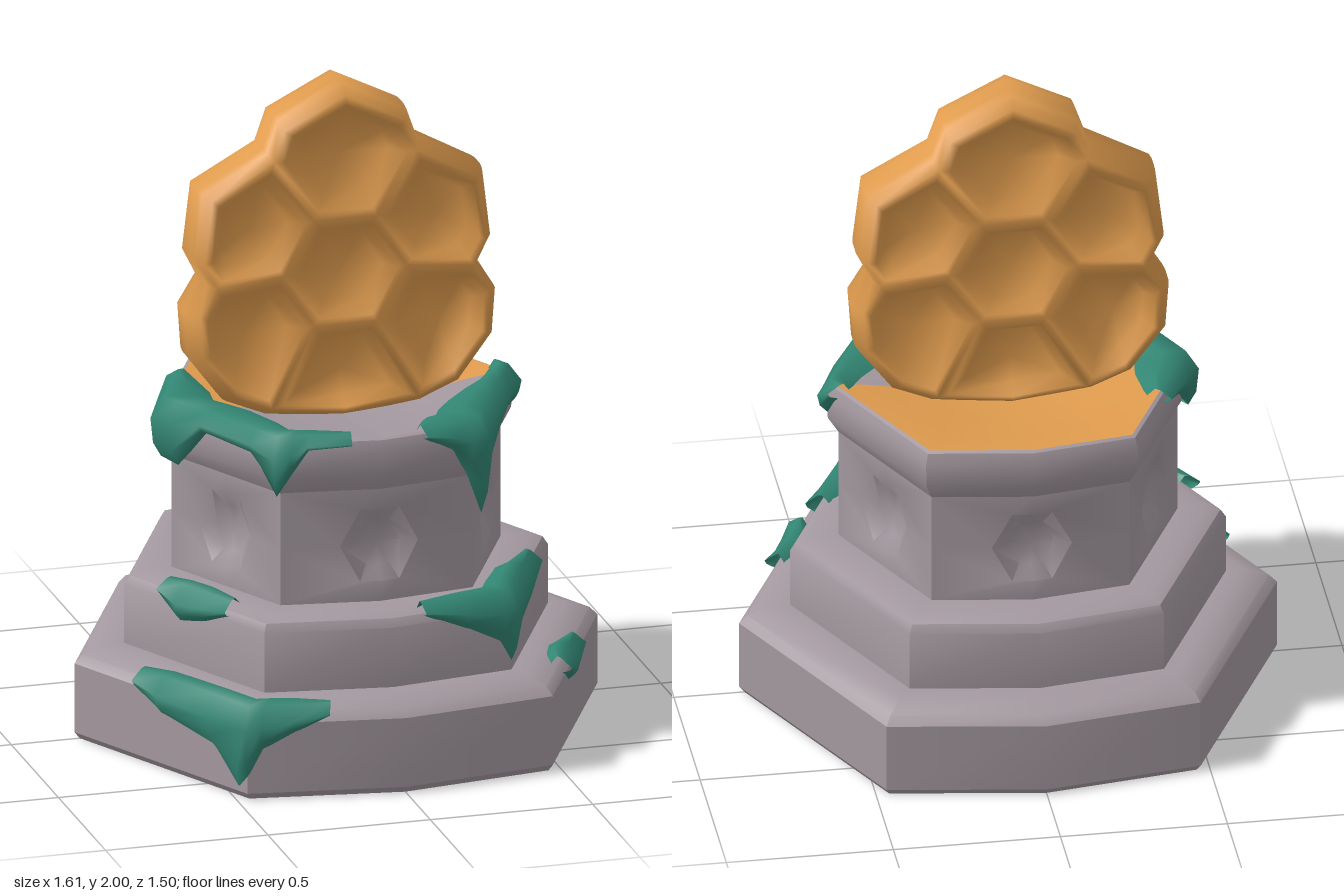
import * as THREE from 'three';
import { mergeVertices, toCreasedNormals } from 'three/addons/utils/BufferGeometryUtils.js';

const mat = (name, color) => {
  const m = new THREE.MeshStandardMaterial({ color, side: THREE.DoubleSide });
  m.name = name;
  return m;
};

// Plan of the plinth, walked from the front corner towards +x
const PLAN = [[0, 0.75], [0.47, 0.68], [0.805, 0], [0.47, -0.68], [0, -0.75], [-0.47, -0.68], [-0.805, 0], [-0.47, 0.68]];

// Point on the plan outline: t counts corners, s scales the plan
function onPlan(t, s, y) {
  const i = Math.floor(t), f = t - i;
  const a = PLAN[i % 8], b = PLAN[(i + 1) % 8];
  return [(a[0] + (b[0] - a[0]) * f) * s, y, (a[1] + (b[1] - a[1]) * f) * s];
}

// Collects quads and turns them into a mesh
class Skin {
  constructor() { this.p = []; }
  quad(a, b, c, d) { this.p.push(...a, ...b, ...c, ...a, ...c, ...d); }
  tri(a, b, c) { this.p.push(...a, ...b, ...c); }
  // Strip between two rows of points
  strip(low, high, closed = false) {
    const n = low.length;
    for (let i = 0; i < (closed ? n : n - 1); i++) {
      const j = (i + 1) % n;
      this.quad(low[i], low[j], high[j], high[i]);
    }
  }
  mesh(name, material, crease) {
    let g = new THREE.BufferGeometry();
    g.setAttribute('position', new THREE.Float32BufferAttribute(this.p, 3));
    if (crease) g = toCreasedNormals(g, crease);
    else { g = mergeVertices(g, 1e-4); g.computeVertexNormals(); }
    const m = new THREE.Mesh(g, material);
    m.name = name;
    return m;
  }
}

// Loft of [scale, y] rings over plan corners from..to
function loft(name, material, profile, from = 0, to = 8) {
  const skin = new Skin();
  const rows = profile.map(([s, y]) => {
    const row = [];
    for (let t = from; t <= to; t++) row.push(onPlan(t, s, y));
    return row;
  });
  for (let i = 0; i + 1 < rows.length; i++) skin.strip(rows[i], rows[i + 1]);
  return skin.mesh(name, material, 0.6);
}

// Six column panels, each with a sunken hexagon
function column(material, s, y0, y1) {
  const skin = new Skin();
  const sides = [[7, 1], [1, 2], [2, 3], [3, 5], [5, 6], [6, 7]];
  const square = [[1, 0], [1, 1], [0, 1], [-1, 1], [-1, 0], [-1, -1], [0, -1], [1, -1]];
  const hex = [[1, 0], [0.5, 0.9], [0, 0.9], [-0.5, 0.9], [-1, 0], [-0.5, -0.9], [0, -0.9], [0.5, -0.9]];
  for (const [i, j] of sides) {
    const a = new THREE.Vector3(...onPlan(i, s, 0)), b = new THREE.Vector3(...onPlan(j, s, 0));
    const mid = a.clone().add(b).multiplyScalar(0.5);
    const u = b.clone().sub(a), w = u.length() / 2;
    u.normalize();
    const n = new THREE.Vector3(-u.z, 0, u.x);
    if (n.dot(mid) < 0) n.negate();
    const bulge = Math.abs(u.z) < 0.01 ? 0.07 * s : 0;
    const h = (y1 - y0) / 2, cy = (y0 + y1) / 2;
    const ring = (shape, rx, ry, depth) => shape.map(([x, y]) => {
      const out = bulge * (1 - Math.abs(x * rx) / w) - depth;
      return mid.clone().addScaledVector(u, x * rx).addScaledVector(n, out).setY(cy + y * ry).toArray();
    });
    const outer = ring(square, w, h, 0);
    const rim = ring(hex, 0.12, 0.125, 0);
    const floor = ring(hex, 0.07, 0.075, 0.03);
    skin.strip(outer, rim, true);
    skin.strip(rim, floor, true);
    const c = ring([[0, 0]], 1, 1, 0.035)[0];
    floor.forEach((p, k) => skin.tri(p, floor[(k + 1) % 8], c));
  }
  return skin.mesh('column', material, 0.6);
}

// Moss draped over a ledge; stations are [t, inner scale, drop]
function moss(name, material, s, y, stations) {
  const skin = new Skin();
  const row = (f) => stations.map((st) => onPlan(st[0], ...f(st)));
  const rows = [
    row(([, , d]) => [s - 0.005, y - d]),
    row(([, , d]) => [s + 0.025, y - d * 0.75]),
    row(([, , d]) => [s + 0.035, y - Math.min(0.05, d * 0.4)]),
    row(() => [s - 0.015, y + 0.015]),
    row(([, k]) => [(s + k) / 2, y + 0.018]),
    row(([, k]) => [k, y - 0.012]),
  ];
  for (let i = 0; i + 1 < rows.length; i++) skin.strip(rows[i], rows[i + 1]);
  return skin.mesh(name, material);
}

// Standing honeycomb slab: one middle cell and six around it
function honeycomb(material) {
  const skin = new Skin(), CY = 1.42;
  const outline = [[0.42, 1.4], [0.46, 1.48], [0.435, 1.69], [0.235, 1.8], [0.2, 1.9], [0, 2],
    [-0.2, 1.9], [-0.235, 1.8], [-0.435, 1.69], [-0.46, 1.48], [-0.42, 1.4], [-0.475, 1.31],
    [-0.465, 1.17], [-0.36, 1.03], [-0.24, 0.98], [0, 0.95], [0.24, 0.98], [0.36, 1.03], [0.465, 1.17], [0.475, 1.31]];
  const N = outline.length, spokes = [0, 3, 7, 10, 14, 16, 20];
  const scaled = (k, z) => outline.map(([x, y]) => [x * k, CY + (y - CY) * k, z]);

  // Rounded rim
  const rim = [[0.94, -0.1], [0.99, -0.065], [1, -0.03], [1, 0.03], [0.99, 0.065], [0.94, 0.1]].map(([k, z]) => scaled(k, z));
  for (let i = 0; i + 1 < rim.length; i++) skin.strip(rim[i], rim[i + 1], true);

  // Cell outlines on the front face
  const face = scaled(0.94, 0.1);
  const hub = [0, 1, 2, 3, 4, 5].map((k) => {
    const a = k * Math.PI / 3;
    return [0.19 * Math.cos(a), CY + 0.19 * Math.sin(a), 0.1];
  });
  const cells = [hub];
  for (let k = 0; k < 6; k++) {
    const cell = [];
    for (let i = spokes[k]; i <= spokes[k + 1]; i++) cell.push(face[i % N]);
    cell.push(hub[(k + 1) % 6], hub[k]);
    cells.push(cell);
  }

  // Raised walls and sunken floors, on both faces
  for (const cell of cells) {
    const cx = cell.reduce((t, p) => t + p[0], 0) / cell.length;
    const cy = cell.reduce((t, p) => t + p[1], 0) / cell.length;
    const inset = (k, z) => cell.map(([x, y]) => [cx + (x - cx) * k, cy + (y - cy) * k, z]);
    const loops = [cell, inset(0.86, 0.108), inset(0.64, 0.06)];
    for (const side of [1, -1]) {
      const flip = (p) => [p[0], p[1], p[2] * side];
      const rows = loops.map((l) => {
        const r = l.map(flip);
        return side > 0 ? r : r.reverse();
      });
      skin.strip(rows[0], rows[1], true);
      skin.strip(rows[1], rows[2], true);
      const c = flip([cx, cy, 0.05]);
      rows[2].forEach((p, i) => skin.tri(p, rows[2][(i + 1) % rows[2].length], c));
    }
  }
  return skin.mesh('honeycomb', material);
}

export function createModel() {
  const stone = mat('stone', 0xa3989f), honey = mat('honey', 0xe09c4e), green = mat('moss', 0x328573);
  const group = new THREE.Group();
  group.name = 'honeycombPedestal';

  // Hollow stepped plinth
  group.add(loft('baseTier', stone, [[0.98, 0], [1, 0.02], [1, 0.235], [0.97, 0.26], [0.88, 0.285], [0.81, 0.285]]));
  group.add(loft('middleTier', stone, [[0.81, 0.285], [0.81, 0.47], [0.79, 0.495], [0.74, 0.51], [0.63, 0.51]]));
  group.add(column(stone, 0.63, 0.51, 0.86));
  group.add(loft('capital', stone, [[0.63, 0.86], [0.67, 0.91], [0.675, 0.985], [0.66, 1.02], [0.645, 1.025]]));

  // Shallow dish: stone in front, honey behind
  const dish = [[0.645, 1.025], [0.5, 1.01], [0.28, 0.975], [0, 0.965]];
  group.add(loft('dishFrontRight', stone, dish, 0, 2));
  group.add(loft('dishFrontLeft', stone, dish, 6, 8));
  group.add(loft('honeyPool', honey, dish, 2, 6));

  group.add(honeycomb(honey));

  // Moss on the ledges
  group.add(moss('mossTopLeftSide', green, 0.675, 1.03, [[0.4, 0.62, 0.02], [0.7, 0.5, 0.07], [0.85, 0.47, 0.15], [1, 0.46, 0.28],
    [1.15, 0.46, 0.15], [1.4, 0.48, 0.1], [1.7, 0.52, 0.07], [1.9, 0.56, 0.1], [2, 0.57, 0.1], [2.1, 0.62, 0.03]]));
  group.add(moss('mossTopRightSide', green, 0.675, 1.03, [[5.5, 0.6, 0.02], [5.8, 0.5, 0.08], [6, 0.47, 0.17], [6.15, 0.46, 0.18],
    [6.4, 0.45, 0.05], [6.8, 0.47, 0.06], [7, 0.5, 0.17], [7.15, 0.52, 0.1], [7.3, 0.54, 0.03], [7.7, 0.62, 0.02]]));
  group.add(moss('mossMiddleLeftSide', green, 0.81, 0.515, [[0.25, 0.75, 0.02], [0.6, 0.68, 0.08], [0.9, 0.65, 0.14], [1, 0.65, 0.21],
    [1.15, 0.65, 0.13], [1.4, 0.66, 0.1], [1.62, 0.74, 0.04]]));
  group.add(moss('mossMiddleRightSide', green, 0.81, 0.515, [[6.28, 0.74, 0.03], [6.4, 0.68, 0.1], [6.55, 0.67, 0.08], [6.75, 0.72, 0.03]]));
  group.add(moss('mossBaseRightSide', green, 1, 0.275, [[6.37, 0.93, 0.04], [6.5, 0.84, 0.1], [6.8, 0.82, 0.14], [6.95, 0.82, 0.25],
    [7, 0.82, 0.21], [7.1, 0.82, 0.12], [7.3, 0.85, 0.07], [7.52, 0.93, 0.02]]));
  group.add(moss('mossBaseLeftSide', green, 1, 0.275, [[1.25, 0.94, 0.03], [1.35, 0.88, 0.08], [1.43, 0.87, 0.09], [1.56, 0.95, 0.03]]));
  return group;
}
